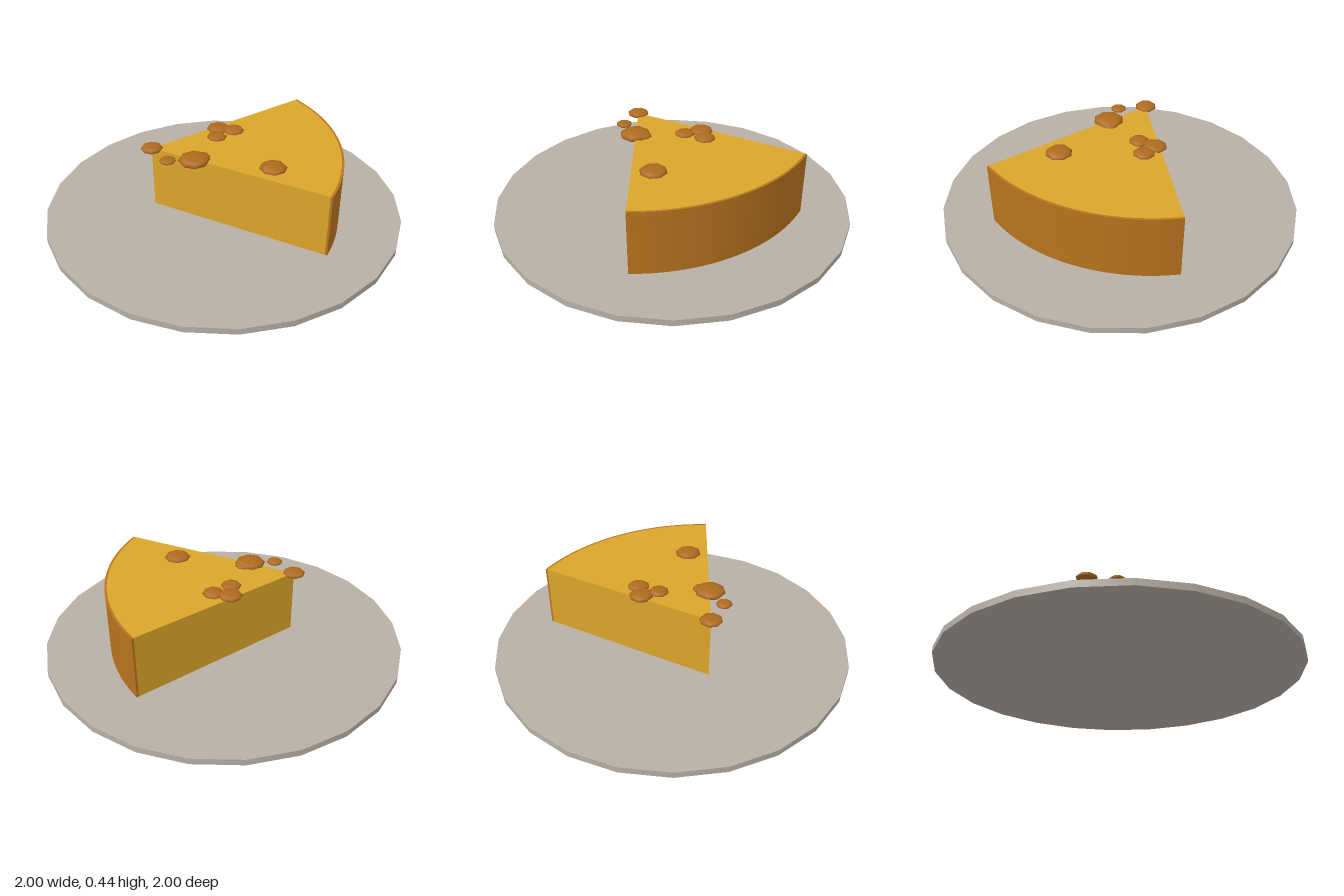
import * as THREE from 'three';
import { toCreasedNormals } from 'three/addons/utils/BufferGeometryUtils.js';

const APEX = -0.39, RADIUS = 1.033, CRUST = 0.012, HALF_ANGLE = 0.546;
const BASE = 0.05, HEIGHT = 0.36;

const material = (name, color) => {
  const m = new THREE.MeshStandardMaterial({ color });
  m.name = name;
  return m;
};

export function createModel() {
  const group = new THREE.Group();
  const stone = material('plate grey', 0xb8b0a6);
  const sponge = material('golden filling', 0xdaa52a);
  const crustBrown = material('baked crust', 0xb8741e);
  const nutBrown = material('topping brown', 0xae6a1e);

  const add = (name, geometry, mat) => {
    const mesh = new THREE.Mesh(geometry, mat);
    mesh.name = name;
    group.add(mesh);
    return mesh;
  };

  // Thin plate with 24 sides
  add('plate', new THREE.CylinderGeometry(1, 1, 0.035, 24), stone).position.y = 0.0175;

  // Upright slab from a plan outline whose origin is the tip of the slice
  const slab = (shape) => {
    const g = new THREE.ExtrudeGeometry(shape, { depth: HEIGHT, bevelEnabled: false, curveSegments: 24 });
    g.rotateX(-Math.PI / 2).translate(APEX, BASE, 0);
    return toCreasedNormals(g, 0.5);
  };

  // Wedge of cake, from the tip out to the curve and back
  const inner = RADIUS - CRUST;
  const wedge = new THREE.Shape();
  wedge.moveTo(0, 0);
  wedge.lineTo(inner * Math.cos(HALF_ANGLE), -inner * Math.sin(HALF_ANGLE));
  wedge.absarc(0, 0, inner, -HALF_ANGLE, HALF_ANGLE, false);
  wedge.lineTo(0, 0);
  add('cakeSlice', slab(wedge), sponge);

  // Thin crust around the outer curve
  const band = new THREE.Shape();
  band.absarc(0, 0, RADIUS, -HALF_ANGLE, HALF_ANGLE, false);
  band.lineTo(inner * Math.cos(HALF_ANGLE), inner * Math.sin(HALF_ANGLE));
  band.absarc(0, 0, inner, HALF_ANGLE, -HALF_ANGLE, true);
  band.closePath();
  add('outerCrust', slab(band), crustBrown);

  // Flattened toppings scattered on top: x, z, radius
  const dot = new THREE.SphereGeometry(1, 8, 6);
  [
    [-0.39, 0, 0.061], [-0.305, 0.137, 0.045], [-0.165, 0.14, 0.085], [-0.123, 0.11, 0.046],
    [-0.015, -0.198, 0.066], [0.07, -0.168, 0.06], [-0.03, -0.1, 0.056], [0.24, 0.25, 0.074],
  ].forEach(([x, z, r], i) => {
    const mesh = add(`topping${i + 1}`, dot, nutBrown);
    mesh.position.set(x, BASE + HEIGHT + 0.002, z);
    mesh.scale.set(r, r * 0.3, r);
  });

  return group;
}
